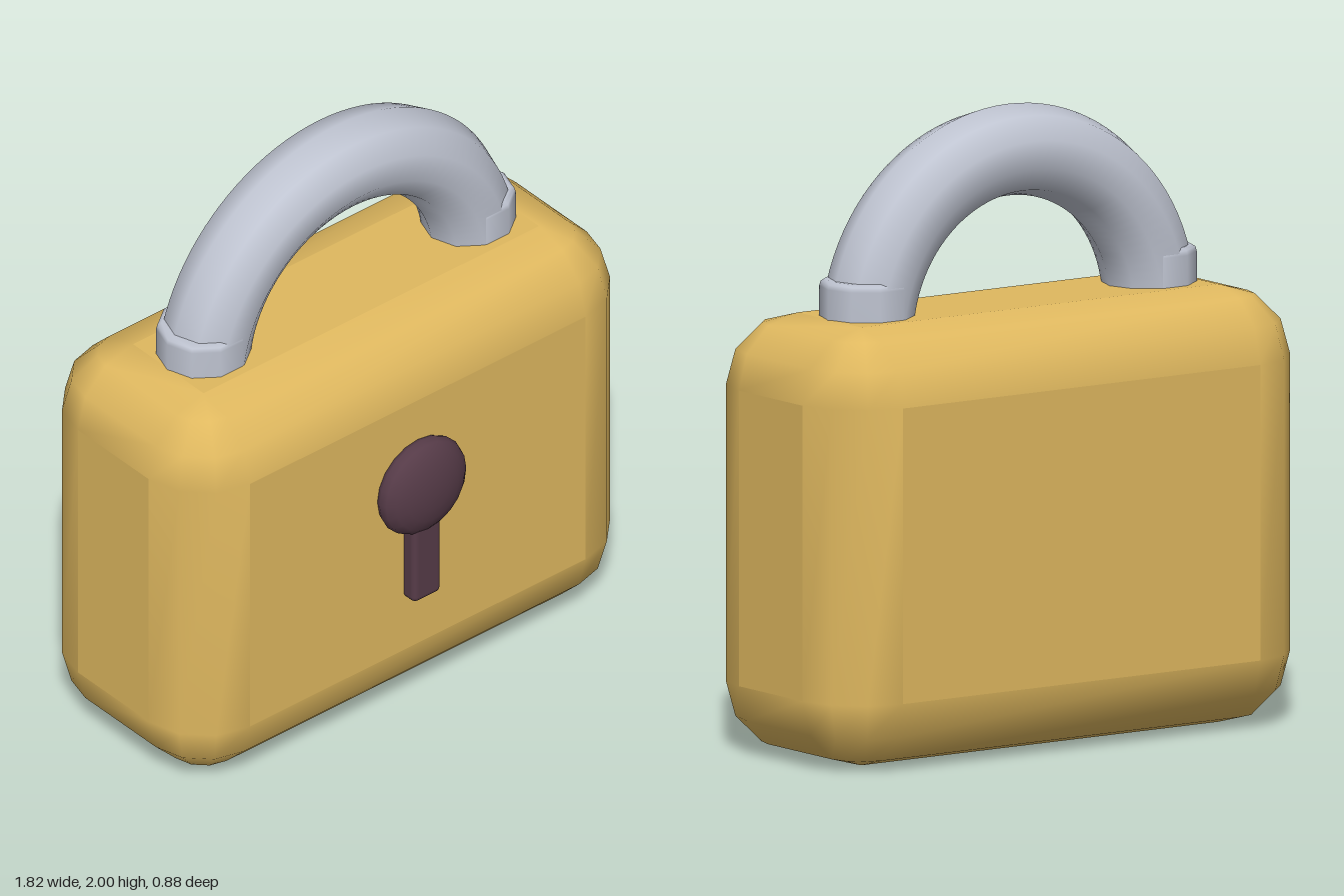
import * as THREE from 'three';
import { mergeGeometries, mergeVertices } from 'three/addons/utils/BufferGeometryUtils.js';
import { RoundedBoxGeometry } from 'three/addons/geometries/RoundedBoxGeometry.js';

const BODY_Z = -0.045;

// Box with three-step rounded edges and crisp flat panels.
function bevelledBox(w, h, d, r) {
  const hx = w / 2 - r, hy = h / 2 - r, hz = d / 2 - r, step = Math.PI / 6;
  const pos = [], bevel = [], flat = [];
  for (let i = 0; i < 8; i++) {
    const sy = i < 4 ? -1 : 1;
    const phi = i < 4 ? (i - 3) * step : (i - 4) * step;
    for (let j = 0; j < 16; j++) {
      const q = Math.floor(j / 4), theta = (q * 3 + (j % 4)) * step;
      const sx = q === 0 || q === 3 ? 1 : -1, sz = q < 2 ? 1 : -1;
      pos.push(
        sx * hx + r * Math.cos(phi) * Math.cos(theta),
        sy * hy + r * Math.sin(phi),
        sz * hz + r * Math.cos(phi) * Math.sin(theta));
    }
  }
  for (let i = 0; i < 7; i++) {
    for (let j = 0; j < 16; j++) {
      const a = i * 16 + j, c = i * 16 + (j + 1) % 16;
      const target = i === 3 && j % 4 === 3 ? flat : bevel;
      target.push(a, a + 16, c, a + 16, c + 16, c);
    }
  }
  const t = 7 * 16;
  flat.push(0, 4, 8, 0, 8, 12, t, t + 12, t + 8, t, t + 8, t + 4);
  const make = (index) => {
    const g = new THREE.BufferGeometry();
    g.setAttribute('position', new THREE.Float32BufferAttribute(pos, 3));
    g.setIndex(index);
    return g;
  };
  const edges = mergeVertices(make(bevel), 1e-4);
  edges.computeVertexNormals();
  const panels = make(flat).toNonIndexed();
  panels.computeVertexNormals();
  return mergeGeometries([edges.toNonIndexed(), panels]);
}

export function createModel() {
  const brass = new THREE.MeshStandardMaterial({ color: 0xdfb85f });
  brass.name = 'brass';
  const steel = new THREE.MeshStandardMaterial({ color: 0xbfc4d1 });
  steel.name = 'steel';
  const dark = new THREE.MeshStandardMaterial({ color: 0x563b48 });
  dark.name = 'dark plum';

  const model = new THREE.Group();
  model.name = 'padlock';
  const add = (name, geometry, material, x, y, z) => {
    const mesh = new THREE.Mesh(geometry, material);
    mesh.name = name;
    mesh.position.set(x, y, z);
    model.add(mesh);
    return mesh;
  };

  add('body', bevelledBox(1.82, 1.385, 0.79, 0.225), brass, 0, 0.6925, BODY_Z);

  // Shackle arch, its ends sunk in the body
  add('shackle', new THREE.TorusGeometry(0.541, 0.145, 10, 48, Math.PI), steel, 0, 1.314, BODY_Z);

  // Ten-sided collars with a small softened rim
  const profile = [[0.147, 0], [0.147, 0.18], [0.143, 0.195], [0.13, 0.203], [0, 0.203]]
    .map(([x, y]) => new THREE.Vector2(x, y));
  for (const side of [1, -1]) {
    const collar = add(side > 0 ? 'leftCollar' : 'rightCollar',
      new THREE.LatheGeometry(profile, 10), steel, side * 0.543, 1.3, BODY_Z);
    collar.rotation.y = Math.PI / 10;
  }

  // Keyhole: flattened dome over a short bar
  const dome = new THREE.SphereGeometry(0.172, 20, 10);
  dome.rotateX(Math.PI / 2);
  dome.scale(1, 1, 0.42);
  add('keyholeDome', dome, dark, 0, 0.845, 0.368);
  add('keyholeSlot', new RoundedBoxGeometry(0.114, 0.36, 0.08, 2, 0.02), dark, 0, 0.605, 0.36);

  return model;
}
